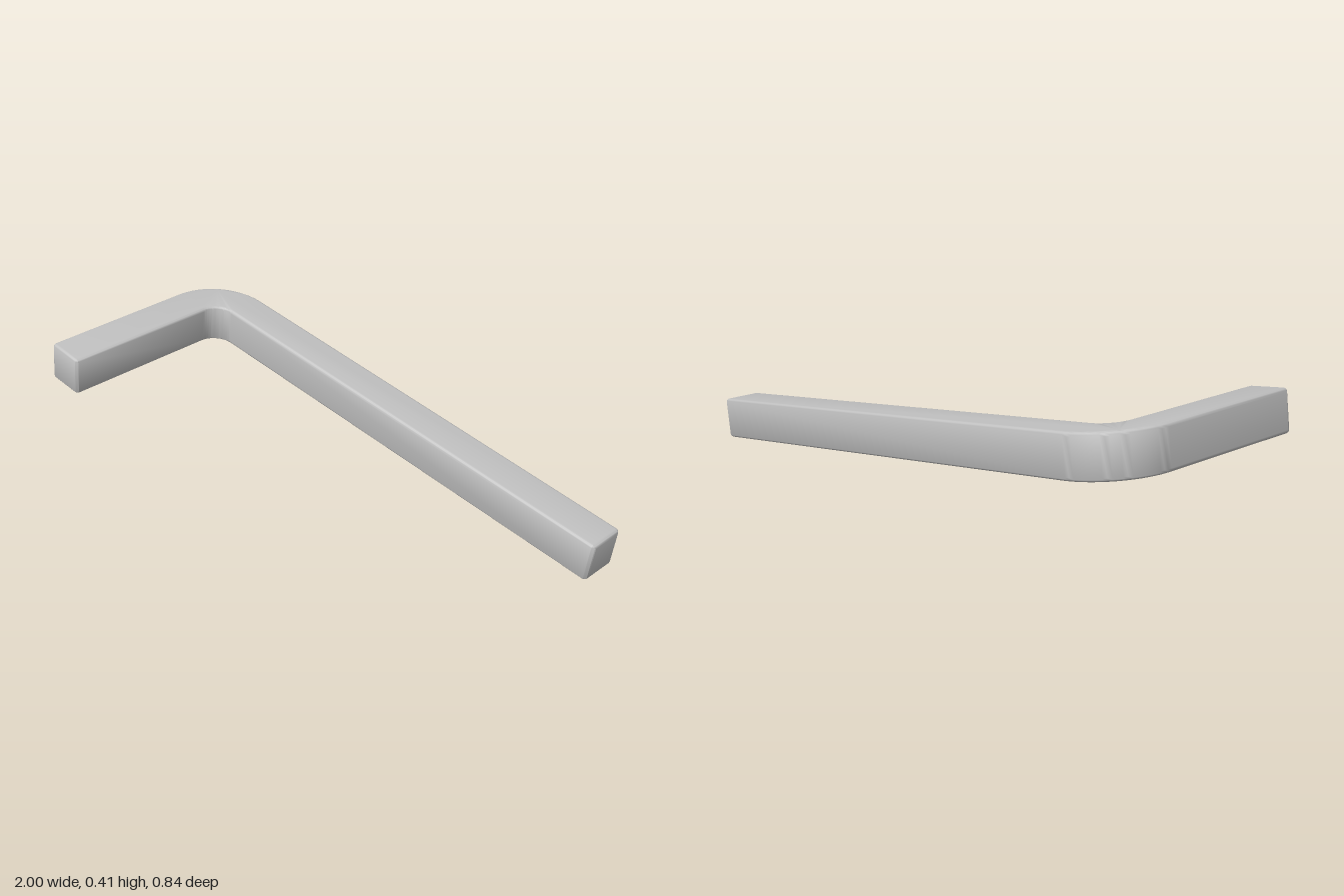
import * as THREE from 'three';
import { toCreasedNormals } from 'three/addons/utils/BufferGeometryUtils.js';

const HALF_L = 1;       // half length of the long arm
const HALF_W = 0.42;    // half depth across the short arm
const T = 0.15;         // square bar thickness
const R_IN = 0.08;      // inside bend radius
const EDGE = 0.016;     // rounding of the bar ends
const BEVEL = 0.013;    // rounding of the long edges
const TILT = THREE.MathUtils.degToRad(7.5);

// L-shaped outline, seen from above (shape y = -z)
function barOutline() {
  const s = new THREE.Shape();
  const P = Math.PI, e = EDGE;
  const left = -HALF_L, inner = left + T, back = HALF_W, front = back - T;
  const cx = inner + R_IN, cy = front - R_IN;
  // end of the short arm
  s.moveTo(left, -HALF_W + e);
  s.absarc(left + e, -HALF_W + e, e, P, 1.5 * P, false);
  s.absarc(inner - e, -HALF_W + e, e, 1.5 * P, 2 * P, false);
  // inside of the bend
  s.absarc(cx, cy, R_IN, P, P / 2, true);
  // end of the long arm
  s.absarc(HALF_L - e, front + e, e, -P / 2, 0, false);
  s.absarc(HALF_L - e, back - e, e, 0, P / 2, false);
  // outside of the bend
  s.absarc(cx, cy, R_IN + T, P / 2, P, false);
  s.closePath();
  return s;
}

export function createModel() {
  const group = new THREE.Group();
  group.name = 'bentBar';
  const steel = new THREE.MeshStandardMaterial({ color: 0xc0c0c0 });
  steel.name = 'light grey metal';

  const extruded = new THREE.ExtrudeGeometry(barOutline(), {
    depth: T - 2 * BEVEL,
    curveSegments: 12,
    bevelEnabled: true,
    bevelThickness: BEVEL,
    bevelSize: BEVEL,
    bevelOffset: -BEVEL,
    bevelSegments: 4,
  });
  extruded.translate(0, 0, BEVEL - T / 2);
  extruded.rotateX(-Math.PI / 2);

  // bar rests on the tip of its long arm
  const bar = new THREE.Mesh(toCreasedNormals(extruded, 0.7), steel);
  bar.name = 'squareBar';
  bar.rotation.z = -TILT;
  bar.position.y = HALF_L * Math.sin(TILT) + (T / 2) * Math.cos(TILT);
  group.add(bar);
  return group;
}
